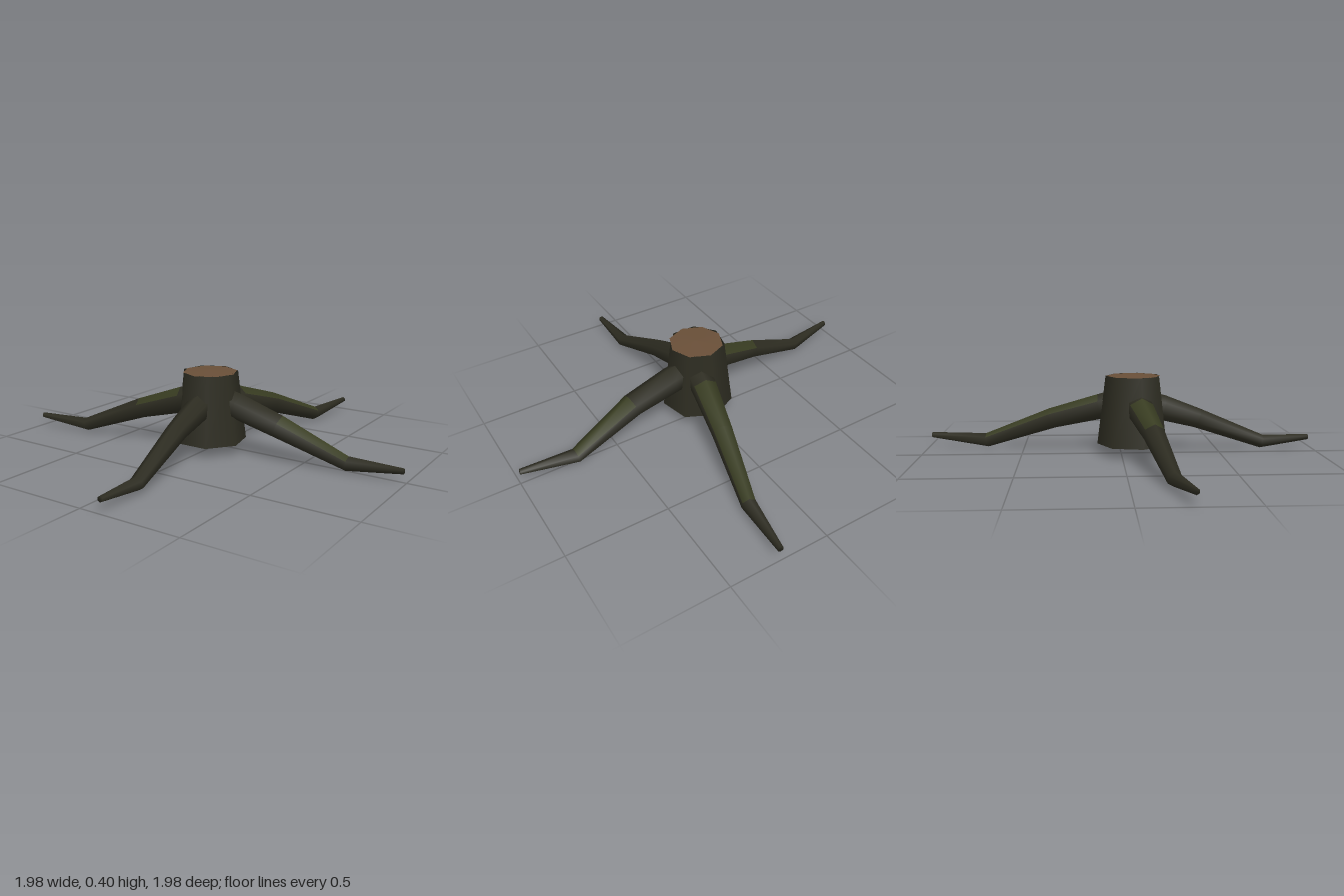
import * as THREE from 'three';

const material = (name, color) => {
  const m = new THREE.MeshStandardMaterial({ color, side: THREE.DoubleSide });
  m.name = name;
  return m;
};

const SIDES = 6;

// Tapered root swept along [x, y, z, radius] stations; mossy segments get moss on their upper faces
function rootGeometry(stations, mossy) {
  const points = stations.map(([x, y, z]) => new THREE.Vector3(x, y, z));
  const up = new THREE.Vector3(0, 1, 0);
  const positions = [];
  points.forEach((p, i) => {
    const before = points[Math.max(i - 1, 0)];
    const after = points[Math.min(i + 1, points.length - 1)];
    const dir = after.clone().sub(before).normalize();
    const side = dir.clone().cross(up).normalize();
    const rise = side.clone().cross(dir);
    for (let k = 0; k < SIDES; k++) {
      const a = ((k + 0.5) / SIDES) * Math.PI * 2;
      const v = p.clone()
        .addScaledVector(side, Math.cos(a) * stations[i][3])
        .addScaledVector(rise, Math.sin(a) * stations[i][3]);
      positions.push(v.x, v.y, v.z);
    }
  });

  const bark = [], moss = [];
  const last = points.length - 1;
  for (let i = 0; i < last; i++) {
    for (let k = 0; k < SIDES; k++) {
      const n = (k + 1) % SIDES;
      const a = i * SIDES + k, b = i * SIDES + n;
      const c = b + SIDES, d = a + SIDES;
      const target = mossy.includes(i) && k < 2 ? moss : bark;
      target.push(a, d, c, a, c, b);
    }
  }
  // Closed tip
  for (let k = 1; k < SIDES - 1; k++) {
    bark.push(last * SIDES, last * SIDES + k + 1, last * SIDES + k);
  }

  const g = new THREE.BufferGeometry();
  g.setAttribute('position', new THREE.Float32BufferAttribute(positions, 3));
  g.setIndex([...bark, ...moss]);
  g.addGroup(0, bark.length, 0);
  if (moss.length) g.addGroup(bark.length, moss.length, 1);
  g.computeVertexNormals();
  return g;
}

export function createModel() {
  const model = new THREE.Group();
  model.name = 'treeStump';
  const bark = material('bark', 0x2d2c21);
  const moss = material('moss', 0x393d22);
  const wood = material('cutWood', 0x694f38);

  // Seven-sided open trunk
  const trunk = new THREE.Mesh(
    new THREE.CylinderGeometry(0.138, 0.18, 0.343, 7, 1, true, Math.PI), bark);
  trunk.name = 'trunk';
  trunk.position.set(0, 0.226, 0.06);
  model.add(trunk);

  // Slightly domed cut face
  const cut = new THREE.Mesh(new THREE.ConeGeometry(0.135, 0.008, 8, 1, true), wood);
  cut.name = 'cutTop';
  cut.position.set(0.002, 0.401, 0.062);
  model.add(cut);

  // Four spreading roots that dip to the ground and lift at the tip
  const roots = [
    ['leftRoot', [2],
      [[0.06, 0.255, 0.045, 0.07], [0.16, 0.235, 0.045, 0.069], [0.38, 0.172, 0.045, 0.06],
        [0.715, 0.04, 0.0, 0.037], [0.99, 0.062, 0.015, 0.014]]],
    ['rightRoot', [1],
      [[-0.05, 0.265, 0.075, 0.068], [-0.14, 0.24, 0.09, 0.066], [-0.38, 0.17, 0.13, 0.051],
        [-0.715, 0.042, 0.185, 0.034], [-0.99, 0.062, 0.235, 0.014]]],
    ['frontRoot', [],
      [[0.01, 0.255, 0.12, 0.066], [0.02, 0.232, 0.21, 0.064], [0.035, 0.175, 0.39, 0.05],
        [0.08, 0.042, 0.735, 0.034], [0.098, 0.06, 0.985, 0.014]]],
    ['backRoot', [1, 2],
      [[0.04, 0.26, -0.01, 0.066], [0.055, 0.236, -0.1, 0.064], [0.115, 0.168, -0.35, 0.052],
        [0.2, 0.04, -0.695, 0.036], [0.245, 0.062, -0.99, 0.014]]],
  ];
  for (const [name, mossy, stations] of roots) {
    const root = new THREE.Mesh(rootGeometry(stations, mossy), [bark, moss]);
    root.name = name;
    model.add(root);
  }
  return model;
}
